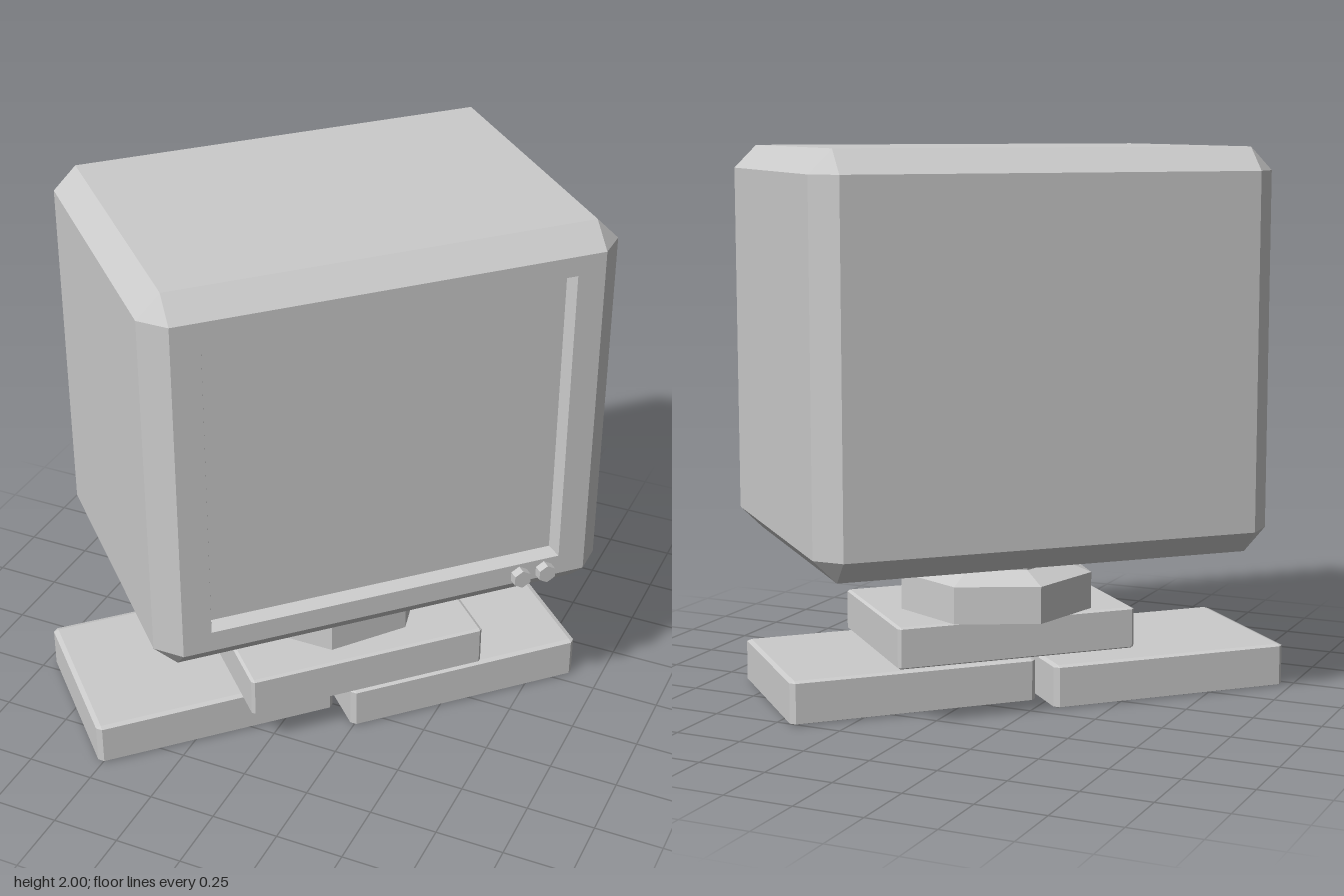
import * as THREE from 'three';
import { ConvexGeometry } from 'three/addons/geometries/ConvexGeometry.js';

const material = new THREE.MeshStandardMaterial({ color: 0xcccccc, flatShading: true });

function part(name, geometry, parent) {
  const mesh = new THREE.Mesh(geometry, material);
  mesh.name = name;
  parent.add(mesh);
  return mesh;
}

// Box between two corners with all edges chamfered (c sideways, cy upwards)
function chamferBox(min, max, c, cy = c) {
  const pts = [];
  for (const i of [0, 1]) for (const j of [0, 1]) for (const k of [0, 1]) {
    const x = i ? max[0] : min[0], y = j ? max[1] : min[1], z = k ? max[2] : min[2];
    const dx = i ? -c : c, dy = j ? -cy : cy, dz = k ? -c : c;
    pts.push(
      new THREE.Vector3(x, y + dy, z + dz),
      new THREE.Vector3(x + dx, y, z + dz),
      new THREE.Vector3(x + dx, y + dy, z));
  }
  return new ConvexGeometry(pts);
}

// Drop the triangles that face straight forward
function openFront(geometry) {
  const p = geometry.attributes.position, kept = [];
  const t = new THREE.Triangle(), n = new THREE.Vector3();
  for (let i = 0; i < p.count; i += 3) {
    t.setFromAttributeAndIndices(p, i, i + 1, i + 2).getNormal(n);
    if (n.z < 0.99) for (const v of [t.a, t.b, t.c]) kept.push(v.x, v.y, v.z);
  }
  const out = new THREE.BufferGeometry();
  out.setAttribute('position', new THREE.Float32BufferAttribute(kept, 3));
  out.computeVertexNormals();
  return out;
}

// Rectangle corners, counter-clockwise from lower left
const corners = (w, y0, y1) => [[-w, y0], [w, y0], [w, y1], [-w, y1]];
const outline = (list) => list.map(([x, y]) => new THREE.Vector2(x, y));

export function createModel() {
  const model = new THREE.Group();
  model.name = 'desktopMonitor';

  // Everything but the round foot is turned 45 degrees
  const turned = new THREE.Group();
  turned.name = 'turnedParts';
  turned.rotation.y = Math.PI / 4;
  model.add(turned);

  // Monitor case, open at the front
  const W = 0.84, D = 0.6, Y0 = 0.56, Y1 = 2, C = 0.083;
  part('case', openFront(chamferBox([-W, Y0, -D], [W, Y1, D], C)), turned);

  // Bezel with the screen opening
  const outer = corners(0.655, 0.72, 1.845), inner = corners(0.64, 0.735, 1.83);
  const depth = 0.05;
  const bezel = new THREE.Shape(outline(corners(W - C, Y0 + C, Y1 - C)));
  bezel.holes.push(new THREE.Path(outline(outer)));
  part('bezel', new THREE.ShapeGeometry(bezel), turned).position.z = D;

  // Sloped walls of the recess, then the screen at its bottom
  const walls = [];
  for (let i = 0; i < 4; i++) {
    const j = (i + 1) % 4;
    const a = [...outer[i], D], b = [...outer[j], D];
    const c = [...inner[j], D - depth], d = [...inner[i], D - depth];
    walls.push(...a, ...b, ...c, ...a, ...c, ...d);
  }
  const recess = new THREE.BufferGeometry();
  recess.setAttribute('position', new THREE.Float32BufferAttribute(walls, 3));
  recess.computeVertexNormals();
  part('screenRecess', recess, turned);
  part('screen', new THREE.ShapeGeometry(new THREE.Shape(outline(inner))), turned)
    .position.z = D - depth;

  // Two hexagonal knobs
  for (const x of [0.5, 0.597]) {
    const knob = new THREE.CylinderGeometry(0.035, 0.035, 0.06, 6).rotateX(Math.PI / 2);
    part('knob', knob, turned).position.set(x, 0.675, D + 0.004);
  }

  // Seven-sided swivel foot
  const profile = [[0, 0.315], [0.357, 0.315], [0.357, 0.45], [0.25, 0.49], [0.25, 0.57], [0, 0.57]];
  part('swivelFoot', new THREE.LatheGeometry(outline(profile), 7, Math.PI), model);

  // Stacked slabs below
  part('upperSlab', chamferBox([-0.456, 0.162, -0.24], [0.456, 0.315, 0.417], 0.011, 0.006), turned);
  part('rightSlab', chamferBox([-1.008, 0, -0.368], [-0.09, 0.157, 0.29], 0.018, 0.006), turned);
  part('leftSlab', chamferBox([-0.067, 0, -0.246], [0.852, 0.157, 0.417], 0.018, 0.006), turned);

  return model;
}
